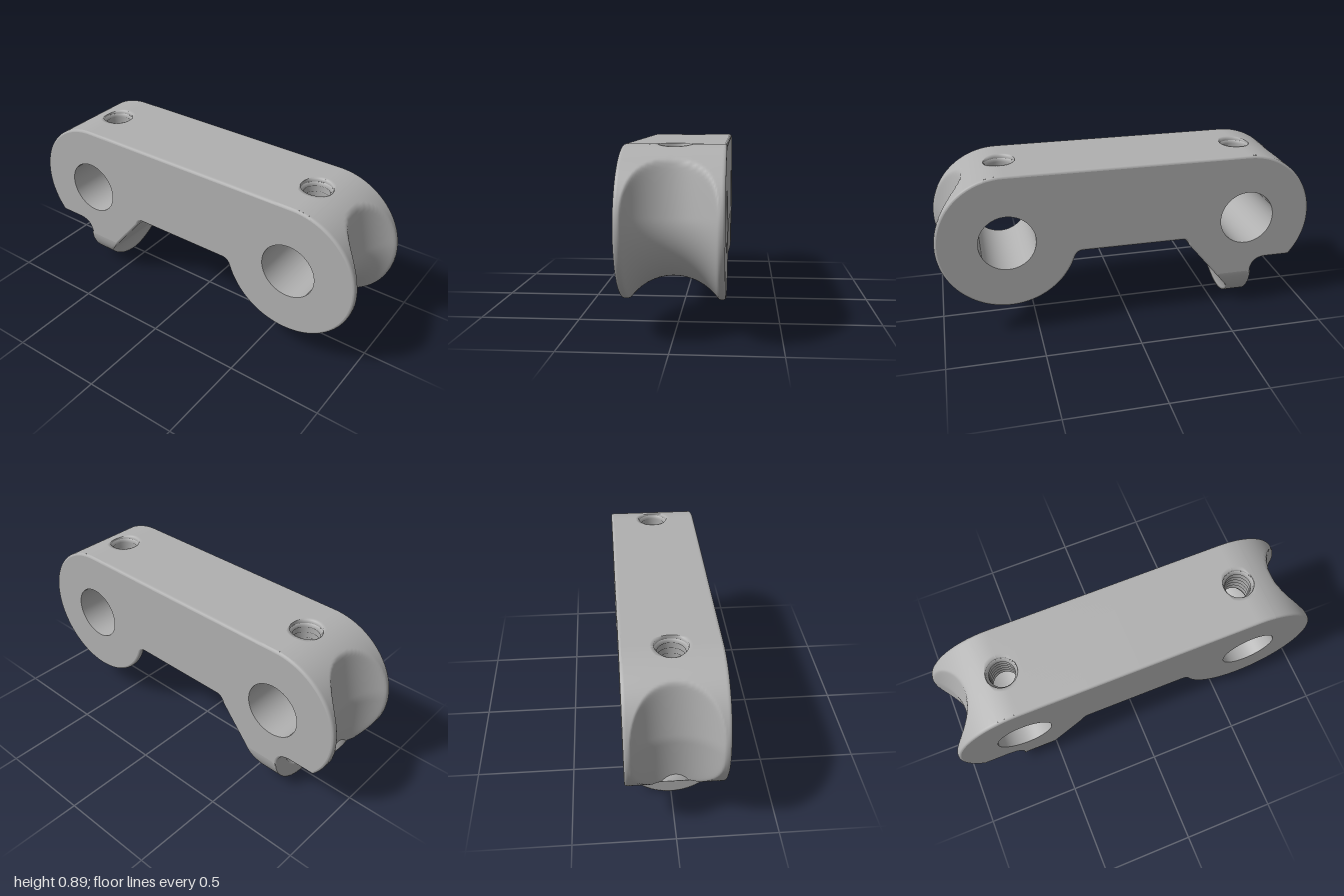
import * as THREE from 'three';

const W = 0.24, LIP = 0.228;              // half width, start of the rounded edge
const CZ = 0.638, CY = 0.5245, R = 0.362; // rounded ends
const TOP = CY + R, UNDER = 0.44, SHELF = 0.285;
const PAD = 0.1, SCREW = 0.08;            // flat pads around the screw holes
const BORES = [{ z: 0.64, y: 0.525 }, { z: -0.645, y: 0.535 }];
const BORE_R = 0.147, BORE_ARC = 0.8;
const CUP = { z: -0.76, y: 0.22, r: 0.165 };
const LEAN = THREE.MathUtils.degToRad(10);

// Indexed surface over a unit square; skip leaves cells open
function grid(nu, nv, point, skip = () => false) {
  const pos = [], index = [];
  for (let i = 0; i <= nu; i++) for (let j = 0; j <= nv; j++) pos.push(...point(i, j));
  for (let i = 0; i < nu; i++) for (let j = 0; j < nv; j++) {
    if (skip(i, j)) continue;
    const a = i * (nv + 1) + j, b = a + nv + 1;
    index.push(a, a + 1, b, a + 1, b + 1, b);
  }
  const geo = new THREE.BufferGeometry();
  geo.setAttribute('position', new THREE.Float32BufferAttribute(pos, 3));
  geo.setIndex(index);
  geo.computeVertexNormals();
  return geo;
}

// Square patch with a round hole, in rings from hole to border
function holedPatch(radius, halfU, halfV, map) {
  return grid(9, 64, (i, j) => {
    const a = j / 64 * Math.PI * 2, c = Math.cos(a), s = Math.sin(a);
    const m = Math.max(Math.abs(c), Math.abs(s)), t = Math.max(0, i - 1) / 8;
    const u = THREE.MathUtils.lerp(radius * c, halfU * c / m, t);
    const v = THREE.MathUtils.lerp(radius * s, halfV * s / m, t);
    return map(u, v, i === 0);
  });
}

// Radius of a rounded end with its rope groove, at one angle and one x
function endRadius(x, angle, straightBelow) {
  const g = Math.sqrt(0.25 ** 2 - x * x) - 0.133;
  const bend = angle > LEAN ? angle - LEAN : straightBelow ? Math.min(0, angle) : 0;
  const d = R - (R - g) / Math.max(0.05, Math.cos(bend));
  return d > 0 ? R - d * d / (d + 0.008) : R;
}

const topY = z => {
  const over = Math.max(0, Math.abs(z) - CZ);
  return CY + Math.sqrt(R * R - over * over);
};
const tabFront = y => y > 0.12 ? -0.33 + (y - 0.4) * 0.23 / 0.28 : -0.585 + 0.025 * (y / 0.12) ** 2;

let padRanges = [];

// Side outline [z, y] of the body at one x
function outline(x) {
  const p = [];
  const run = (n, f) => { for (let i = 0; i < n; i++) p.push(f(i / n)); };
  const bezier = (n, a, b, c) => run(n, t => [0, 1].map(k =>
    (1 - t) ** 2 * a[k] + 2 * t * (1 - t) * b[k] + t * t * c[k]));
  const high = Math.acos(PAD / R);
  // Front end
  const rIn = endRadius(x, -Math.PI / 2, false);
  const low = -Math.PI + Math.asin((CY - 0.4) / rIn);
  run(80, t => {
    const a = high + (low - high) * t, r = endRadius(x, a, false);
    return [CZ + r * Math.cos(a), CY + r * Math.sin(a)];
  });
  // Underside
  const zi = CZ + rIn * Math.cos(low);
  bezier(8, [zi, 0.4], [zi - 0.012, UNDER], [zi - 0.045, UNDER]);
  run(6, t => [zi - 0.045 + (-0.29 - zi + 0.045) * t, UNDER]);
  bezier(8, [-0.29, UNDER], [-0.315, UNDER], [-0.33, 0.4]);
  // Tab with a round lower edge
  const y0 = 0.245 - Math.sqrt(0.245 ** 2 - x * x);
  run(24, t => { const y = 0.4 + (y0 - 0.4) * t; return [tabFront(y), y]; });
  const zf = tabFront(y0);
  run(8, t => [zf + (-0.69 - zf) * t, y0]);
  // Back of the tab and shelf, hollowed by the round cup
  const start = p.length;
  run(30, t => [-0.69, y0 + (0.21 - y0) * t]);
  bezier(24, [-0.69, 0.21], [-0.695, SHELF], [-0.78, SHELF]);
  const drop = CY - SHELF;
  const floor = endRadius(x, 0, true);
  const zb = Math.min(floor, Math.sqrt(R * R - drop * drop));
  run(20, t => [-0.78 + (-CZ - zb + 0.78) * t, SHELF]);
  const rho = Math.sqrt(Math.max(0, CUP.r ** 2 - x * x));
  for (let i = start; i < p.length; i++) {
    const dz = p[i][0] - CUP.z, dy = p[i][1] - CUP.y, d = Math.hypot(dz, dy);
    if (d < rho) p[i] = [CUP.z + dz / d * rho, CUP.y + dy / d * rho];
  }
  // Rear end
  const from = -Math.atan2(drop, zb);
  run(60, t => {
    const a = from + (high - from) * t, r = endRadius(x, a, true);
    return [-CZ - r * Math.cos(a), CY + r * Math.sin(a)];
  });
  // Top
  const top = p.length;
  const line = (n, a, b) => run(n, t => { const z = a + (b - a) * t; return [z, topY(z)]; });
  line(8, -CZ - PAD, -CZ + PAD);
  line(4, -CZ + PAD, CZ - PAD);
  line(8, CZ - PAD, CZ + PAD);
  padRanges = [[top, top + 8], [top + 12, top + 20]];
  return p;
}

// Outline moved inward for the rounded side edges
function inset(p, d) {
  const n = p.length;
  return p.map(([z, y], i) => {
    const a = p[(i + n - 1) % n], b = p[(i + 1) % n];
    const dz = b[0] - a[0], dy = b[1] - a[1], l = Math.hypot(dz, dy) || 1;
    return [z + dy / l * d, y - dz / l * d];
  });
}

export function createModel() {
  const group = new THREE.Group();
  const metal = new THREE.MeshStandardMaterial({ color: 0xb0b0b0, side: THREE.DoubleSide });
  metal.name = 'grey metal';
  const add = (name, geo) => {
    const mesh = new THREE.Mesh(geo, metal);
    mesh.name = name;
    group.add(mesh);
    return mesh;
  };

  // Grooved body, lofted across its width
  const slices = [];
  const edge = [[W, 0.012], [0.2385, 0.0062], [0.2345, 0.0021]];
  edge.forEach(([x, d]) => slices.push({ x: -x, p: inset(outline(x), d) }));
  for (let i = 0; i <= 64; i++) {
    const x = -LIP + 2 * LIP * i / 64;
    slices.push({ x, p: outline(x) });
  }
  edge.reverse().forEach(([x, d]) => slices.push({ x, p: inset(outline(x), d) }));
  const n = slices[0].p.length;
  add('body', grid(slices.length - 1, n, (i, j) => {
    const [z, y] = slices[i].p[j % n];
    return [slices[i].x, y, z];
  }, (i, j) => i >= 3 && i < 67 && padRanges.some(([a, b]) => j >= a && j < b)));

  // Flat sides with bore openings
  for (const s of [-1, 1]) {
    const shape = new THREE.Shape(slices[0].p.map(([z, y]) => new THREE.Vector2(-s * z, y)));
    for (const b of BORES) {
      const hole = new THREE.Path();
      hole.absarc(-s * b.z, b.y, BORE_R, 0, Math.PI * 2, true);
      shape.holes.push(hole);
    }
    const side = new THREE.ShapeGeometry(shape, 32);
    side.rotateY(s * Math.PI / 2);
    side.translate(s * W, 0, 0);
    add(s > 0 ? 'leftSide' : 'rightSide', side);
  }

  BORES.forEach((b, k) => {
    const end = k ? 'rear' : 'front', cz = k ? -CZ : CZ;
    // Cross bore, with an opening for the screw hole above
    const onBore = (x, a, r = BORE_R) => [x, b.y + r * Math.cos(a), b.z + r * Math.sin(a)];
    add(end + 'Bore', grid(1, 64, (i, j) =>
      onBore(W * (1 - 2 * i), BORE_ARC + (2 * Math.PI - 2 * BORE_ARC) * j / 64)));
    add(end + 'BoreRoof', holedPatch(SCREW, W, BORE_R * Math.sin(BORE_ARC), (u, v, inner) => {
      const q = onBore(u, Math.asin(v / BORE_R));
      if (inner) q[1] = b.y + BORE_R + 0.008;
      return q;
    }));
    // Pad around the screw hole
    add(end + 'Pad', holedPatch(SCREW, LIP, PAD, (u, v, inner) =>
      [u, inner ? 0.868 : topY(cz + v), cz + v]));
    // Threaded screw hole
    const profile = [], turns = 6, y0 = b.y + BORE_R + 0.008;
    for (let i = 0; i <= turns * 2; i++) {
      profile.push(new THREE.Vector2(i % 2 ? 0.066 : SCREW, y0 + (0.868 - y0) * i / (turns * 2)));
    }
    add(end + 'Thread', new THREE.LatheGeometry(profile, 40)).position.z = cz;
  });
  return group;
}
